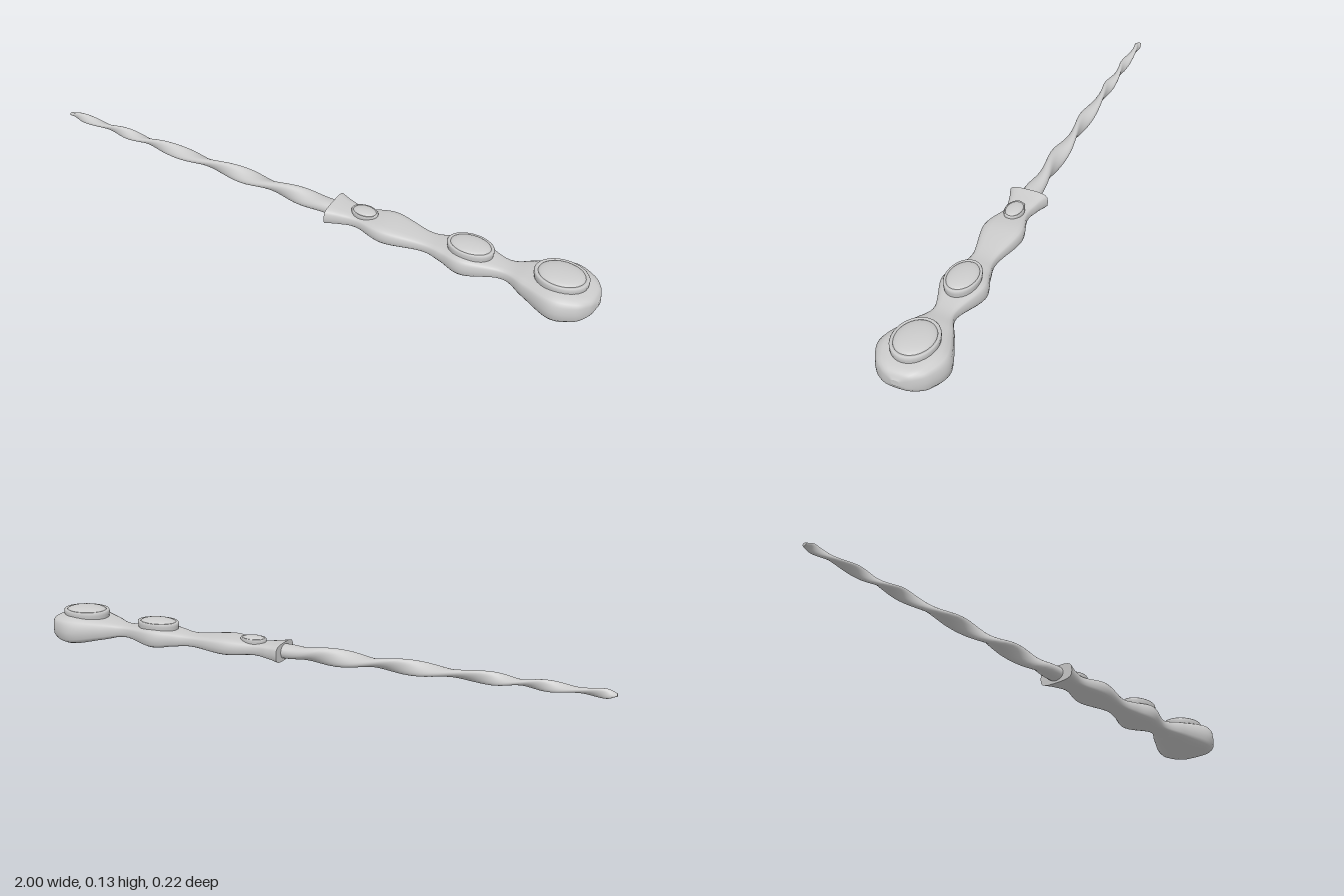
import * as THREE from 'three';

const grey = new THREE.MeshStandardMaterial({ color: 0xcccccc });
const SIDES = 20;

// Smoothly resample rows of numbers
function resample(rows, steps) {
  const channel = (k) => new THREE.CatmullRomCurve3(
    rows.map((r) => new THREE.Vector3(r[0], r[k], 0)), false, 'catmullrom', 0.5);
  const curves = [1, 2, 3, 4].map(channel);
  return Array.from({ length: steps + 1 }, (_, i) => {
    const pts = curves.map((c) => c.getPoint(i / steps));
    return [pts[0].x, ...pts.map((p) => p.y)];
  });
}

// Skin rows of [x, centre y, half width, half thickness, twist in degrees]
function loft(rows, power, name) {
  const pos = [], index = [];
  const bend = (v) => Math.sign(v) * Math.pow(Math.abs(v), 2 / power);
  const ring = ([x, cy, wide, thick, deg]) => {
    const t = THREE.MathUtils.degToRad(deg);
    for (let j = 0; j < SIDES; j++) {
      const a = (j / SIDES) * Math.PI * 2;
      const u = wide * bend(Math.cos(a)), v = thick * bend(Math.sin(a));
      pos.push(x, cy + u * Math.sin(t) + v * Math.cos(t), u * Math.cos(t) - v * Math.sin(t));
    }
  };
  rows.forEach(ring);
  for (let i = 0; i < rows.length - 1; i++) {
    for (let j = 0; j < SIDES; j++) {
      const a = i * SIDES + j, b = i * SIDES + (j + 1) % SIDES;
      index.push(a, a + SIDES, b, b, a + SIDES, b + SIDES);
    }
  }
  // End caps with their own rings, so the edges stay sharp
  const cap = (row, facesBack) => {
    const start = pos.length / 3, centre = start + SIDES;
    ring(row);
    pos.push(row[0], row[1], 0);
    for (let j = 0; j < SIDES; j++) {
      const a = start + j, b = start + (j + 1) % SIDES;
      index.push(centre, facesBack ? a : b, facesBack ? b : a);
    }
  };
  cap(rows[0], true);
  cap(rows.at(-1), false);
  const geo = new THREE.BufferGeometry();
  geo.setAttribute('position', new THREE.Float32BufferAttribute(pos, 3));
  geo.setIndex(index);
  geo.computeVertexNormals();
  const mesh = new THREE.Mesh(geo, grey);
  mesh.name = name;
  return mesh;
}

// Oval setting with a low domed stone
function stone(x, base, top, rx, rz, name) {
  const group = new THREE.Group();
  group.name = name;
  const h = top - base, rim = h * 0.7;
  const lathe = (pts, part) => {
    const geo = new THREE.LatheGeometry(pts.map((p) => new THREE.Vector2(...p)), 32);
    geo.scale(rx, 1, rz);
    const mesh = new THREE.Mesh(geo, grey);
    mesh.name = part;
    group.add(mesh);
  };
  lathe([[0.94, -0.012], [0.97, 0], [1, rim * 0.5], [1, rim * 0.85], [0.96, rim], [0.87, rim], [0.84, rim * 0.8]], 'setting');
  const dome = [];
  for (let i = 0; i <= 8; i++) {
    const a = (i / 8) * Math.PI / 2;
    dome.push([i === 8 ? 0 : 0.86 * Math.cos(a), rim * 0.85 + (h - rim * 0.85) * Math.sin(a)]);
  }
  lathe(dome, 'dome');
  group.position.set(x, base, 0);
  return group;
}

export function createModel() {
  const model = new THREE.Group();
  model.name = 'wand';

  // Twisted flat shaft, half a turn per bulge
  const shaft = [
    [-1, 0.057, 0.008, 0.005, -720],
    [-0.96, 0.057, 0.016, 0.008, -630],
    [-0.87, 0.057, 0.016, 0.009, -540],
    [-0.78, 0.057, 0.019, 0.009, -450],
    [-0.69, 0.057, 0.019, 0.010, -360],
    [-0.6, 0.057, 0.022, 0.011, -270],
    [-0.46, 0.057, 0.025, 0.013, -180],
    [-0.33, 0.057, 0.026, 0.013, -90],
    [-0.2, 0.057, 0.029, 0.015, 0],
    [-0.07, 0.057, 0.030, 0.018, 90],
    [0.05, 0.057, 0.030, 0.022, 180],
    [0.12, 0.057, 0.030, 0.024, 180],
  ];
  model.add(loft(resample(shaft, 132), 2.2, 'shaft'));

  // Handle: flared collar, three swellings and a broad pommel
  const handle = [
    [0.095, 0.056, 0.067, 0.031, 0],
    [0.14, 0.056, 0.051, 0.025, 0],
    [0.2, 0.056, 0.041, 0.021, 0],
    [0.3, 0.057, 0.066, 0.029, 0],
    [0.43, 0.055, 0.040, 0.020, 0],
    [0.5, 0.055, 0.052, 0.026, 0],
    [0.58, 0.055, 0.073, 0.035, 0],
    [0.7, 0.057, 0.036, 0.021, 0],
    [0.78, 0.056, 0.070, 0.034, 0],
    [0.88, 0.053, 0.111, 0.050, 0],
    [0.95, 0.053, 0.089, 0.045, 0],
    [0.985, 0.056, 0.052, 0.032, 0],
    [1, 0.058, 0.012, 0.010, 0],
  ];
  model.add(loft(resample(handle, 96), 3.4, 'handle'));

  // Stones set along the top of the handle
  model.add(stone(0.875, 0.092, 0.129, 0.085, 0.068, 'largeStone'));
  model.add(stone(0.58, 0.084, 0.116, 0.077, 0.053, 'middleStone'));
  model.add(stone(0.21, 0.074, 0.097, 0.046, 0.031, 'smallStone'));
  return model;
}
